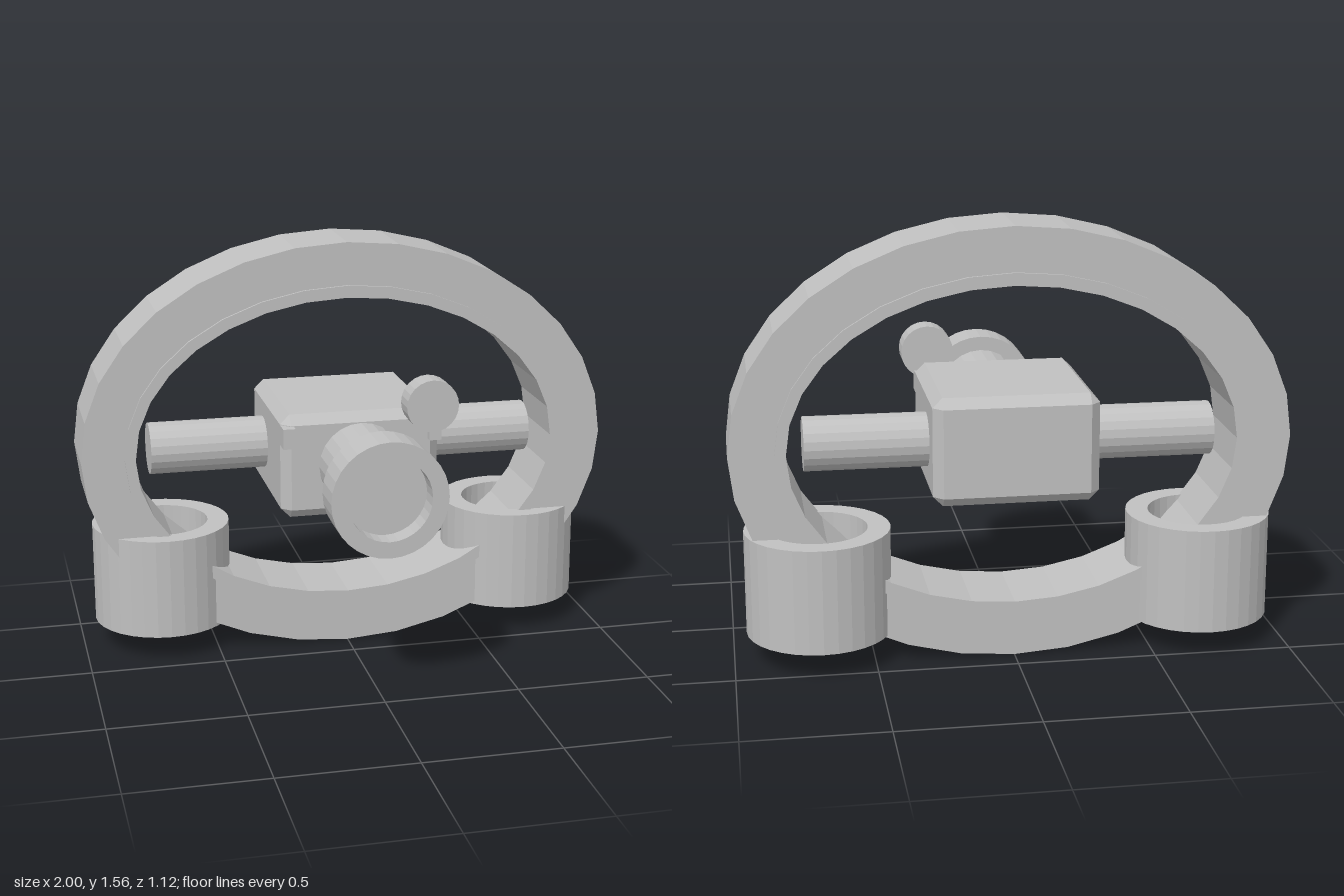
import * as THREE from 'three';
import { ConvexGeometry } from 'three/addons/geometries/ConvexGeometry.js';

const grey = new THREE.MeshStandardMaterial({ color: 0xc0c0c0, flatShading: true });
grey.name = 'plain grey';
const MID_Y = 0.785;
const RING_Z = -0.26;

export function createModel() {
  const model = new THREE.Group();
  model.name = 'ringFrame';

  const add = (name, geometry, x = 0, y = 0, z = 0) => {
    const mesh = new THREE.Mesh(geometry, grey);
    mesh.name = name;
    mesh.position.set(x, y, z);
    model.add(mesh);
    return mesh;
  };

  // Points of an oval, with one at each end of both axes
  const oval = (rx, ry, n = 32) => Array.from({ length: n }, (_, i) => {
    const a = (i / n) * Math.PI * 2;
    return new THREE.Vector2(Math.cos(a) * rx, Math.sin(a) * ry);
  });

  // Oval band extruded along z
  const ovalBand = (rx, ry, innerRx, innerRy, depth) => {
    const shape = new THREE.Shape(oval(rx, ry));
    shape.holes.push(new THREE.Path(oval(innerRx, innerRy)));
    return new THREE.ExtrudeGeometry(shape, { depth, bevelEnabled: false })
      .translate(0, 0, -depth / 2);
  };

  // Round bar along z between two depths
  const barZ = (r, z0, z1, sides) =>
    new THREE.CylinderGeometry(r, r, z1 - z0, sides).rotateX(Math.PI / 2).translate(0, 0, (z0 + z1) / 2);

  // Box with every edge cut off
  const chamferBox = (w, h, d, c) => {
    const points = [];
    for (const sx of [-1, 1]) for (const sy of [-1, 1]) for (const sz of [-1, 1]) {
      for (let axis = 0; axis < 3; axis++) {
        const half = [w / 2, h / 2, d / 2].map((v, i) => (i === axis ? v : v - c));
        points.push(new THREE.Vector3(sx * half[0], sy * half[1], sz * half[2]));
      }
    }
    return new ConvexGeometry(points);
  };

  // Oval ring with a slightly wider inner lining
  add('outerRing', ovalBand(1, 0.78, 0.82, 0.597, 0.3), 0, MID_Y, RING_Z);
  add('innerLining', ovalBand(0.84, 0.62, 0.8, 0.575, 0.32), 0, MID_Y, RING_Z);

  // Central housing and its cross bar
  add('housing', chamferBox(0.59, 0.39, 0.6, 0.035), 0, MID_Y, -0.18);
  add('crossBar', new THREE.CylinderGeometry(0.0975, 0.0975, 1.47, 20).rotateZ(Math.PI / 2), 0, MID_Y, RING_Z);

  // Front barrel and recessed collar
  add('barrel', barZ(0.157, 0.1, 0.43, 24), 0, MID_Y, 0);
  const collar = [[0, 0.42], [0.21, 0.42], [0.21, 0.565], [0.15, 0.565], [0.15, 0.485], [0, 0.485]]
    .map(([r, z]) => new THREE.Vector2(r, z));
  add('collar', new THREE.LatheGeometry(collar, 32).rotateX(Math.PI / 2), 0, MID_Y, 0);

  // Round knob
  add('knob', barZ(0.097, 0.12, 0.21, 24), 0.245, 1.012, 0);

  // Open tubes at the feet, with a small pin across each, and tabs on the housing
  const tube = [[0.18, -0.19], [0.261, -0.19], [0.261, 0.19], [0.18, 0.19], [0.18, -0.19]]
    .map(([r, y]) => new THREE.Vector2(r, y));
  for (const [side, s] of [['left', 1], ['right', -1]]) {
    add(side + 'FootTube', new THREE.LatheGeometry(tube, 32), s * 0.693, 0.295, -0.298);
    add(side + 'FootPin', barZ(0.04, -0.49, -0.11, 12), s * 0.693, 0.3, 0);
    add(side + 'Tab', new THREE.BoxGeometry(0.045, 0.075, 0.07), s * 0.272, 0.905, 0.115);
  }

  return model;
}
